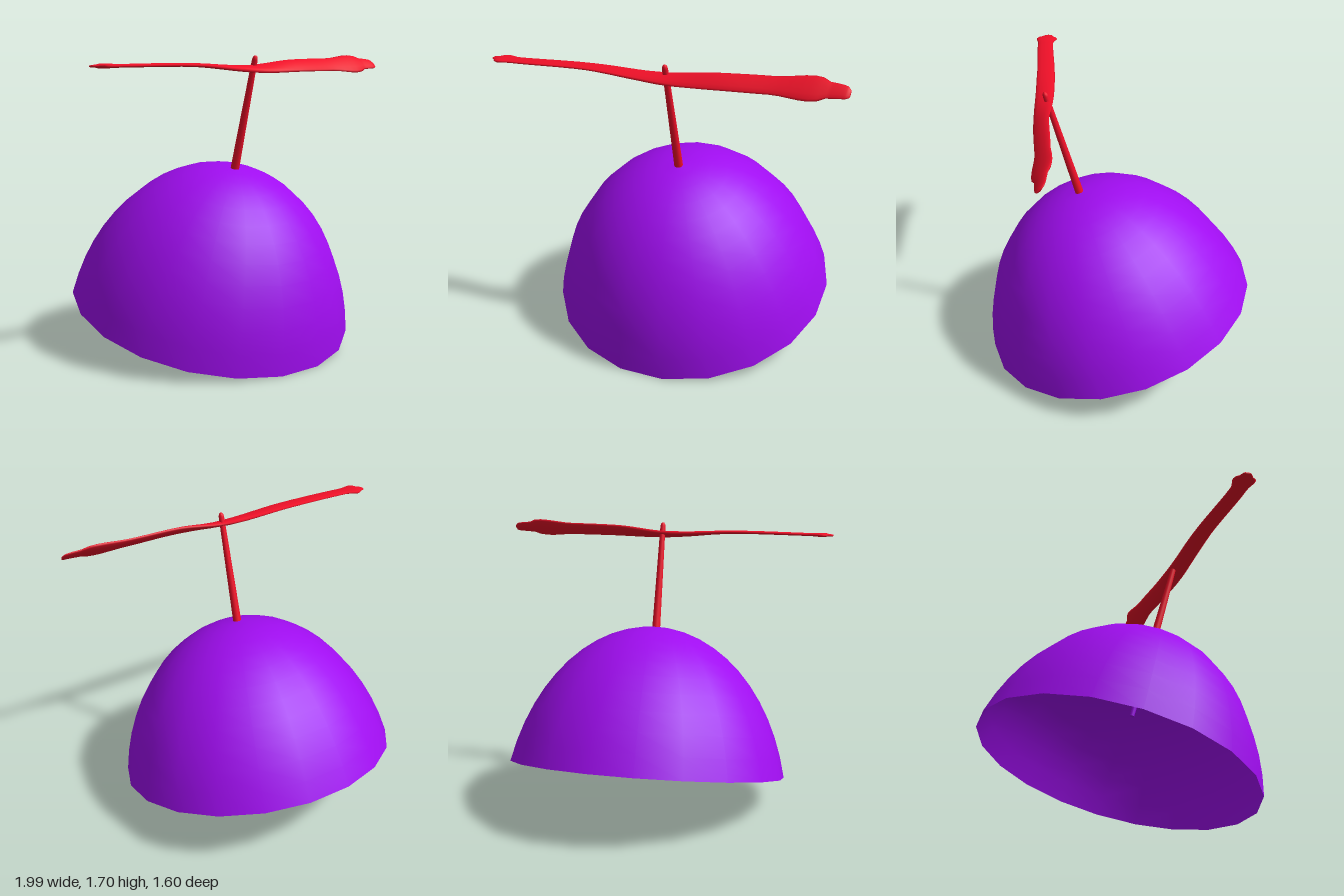
import * as THREE from 'three';

const purple = new THREE.MeshStandardMaterial({ color: 0xa00df0, side: THREE.DoubleSide });
const red = new THREE.MeshStandardMaterial({ color: 0xf01028 });

function part(name, geometry, material) {
  const mesh = new THREE.Mesh(geometry, material);
  mesh.name = name;
  return mesh;
}

// Open bowl: the cap of a tall ellipsoid, 20 sided
function domeGeometry(radius, height, rings = 12) {
  const end = THREE.MathUtils.degToRad(75);
  const a = radius / Math.sin(end), c = height / (1 - Math.cos(end));
  const profile = [];
  for (let i = rings; i >= 0; i--) {
    const t = (end * i) / rings;
    profile.push(new THREE.Vector2(a * Math.sin(t), c * (Math.cos(t) - Math.cos(end))));
  }
  return new THREE.LatheGeometry(profile, 20);
}

// Twisted blade: elliptical sections lofted along x
function propellerGeometry(steps = 60, sides = 12) {
  // x, y, z, half chord, half thickness, pitch in degrees
  const keys = [
    [-1.0, 1.617, 0.53, 0.022, 0.005, 0],
    [-0.97, 1.618, 0.533, 0.039, 0.008, 0],
    [-0.85, 1.62, 0.528, 0.048, 0.009, 2],
    [-0.4, 1.628, 0.458, 0.052, 0.01, 3],
    [-0.1, 1.613, 0.42, 0.054, 0.015, 10],
    [0.05, 1.612, 0.405, 0.055, 0.016, 20],
    [0.3, 1.63, 0.378, 0.055, 0.014, 38],
    [0.6, 1.639, 0.325, 0.055, 0.012, 42],
    [0.88, 1.647, 0.288, 0.047, 0.01, 45],
    [0.97, 1.645, 0.28, 0.036, 0.008, 45],
    [0.99, 1.64, 0.28, 0.02, 0.005, 45],
  ];
  const pick = (k) => new THREE.CatmullRomCurve3(keys.map((r) => new THREE.Vector3(r[k], r[k + 1], r[k + 2])));
  const path = pick(0), section = pick(3);
  const position = [], index = [];
  for (let i = -1; i <= steps + 1; i++) {
    const t = THREE.MathUtils.clamp(i / steps, 0, 1);
    const p = path.getPoint(t), s = section.getPoint(t);
    const closed = i < 0 || i > steps ? 0 : 1; // end rings shrink to a point
    const pitch = THREE.MathUtils.degToRad(s.z);
    for (let j = 0; j < sides; j++) {
      const a = (j / sides) * Math.PI * 2;
      const u = s.x * Math.cos(a) * closed, v = s.y * Math.sin(a) * closed;
      position.push(
        p.x,
        p.y - u * Math.sin(pitch) + v * Math.cos(pitch),
        p.z + u * Math.cos(pitch) + v * Math.sin(pitch)
      );
    }
  }
  for (let i = 0; i < steps + 2; i++) {
    for (let j = 0; j < sides; j++) {
      const a = i * sides + j, b = i * sides + ((j + 1) % sides);
      index.push(a, a + sides, b, b, a + sides, b + sides);
    }
  }
  const geometry = new THREE.BufferGeometry();
  geometry.setAttribute('position', new THREE.Float32BufferAttribute(position, 3));
  geometry.setIndex(index);
  geometry.computeVertexNormals();
  return geometry;
}

export function createModel() {
  const model = new THREE.Group();
  model.name = 'propellerCap';

  // Cap and shaft share one axis leaning forward
  const cap = new THREE.Group();
  cap.name = 'cap';
  cap.position.set(-0.02, 0.218, 0);
  cap.quaternion.setFromUnitVectors(
    new THREE.Vector3(0, 1, 0),
    new THREE.Vector3(0.03, 0.965, 0.264).normalize()
  );

  const dome = part('dome', domeGeometry(0.83, 0.865), purple);
  dome.rotation.y = -0.045;
  cap.add(dome);

  // Shaft with a rounded tip
  const outer = [[0.025, 0.84], [0.016, 1.495], [0.013, 1.51], [0.007, 1.518], [0, 1.52]];
  cap.add(part('shaft', new THREE.LatheGeometry(outer.map((p) => new THREE.Vector2(...p)), 12), red));

  // Tapered pin inside the dome
  const pin = part('innerPin', new THREE.CylinderGeometry(0.025, 0.013, 0.5, 12), purple);
  pin.position.y = 0.6;
  cap.add(pin);
  model.add(cap);

  model.add(part('propeller', propellerGeometry(), red));
  return model;
}
